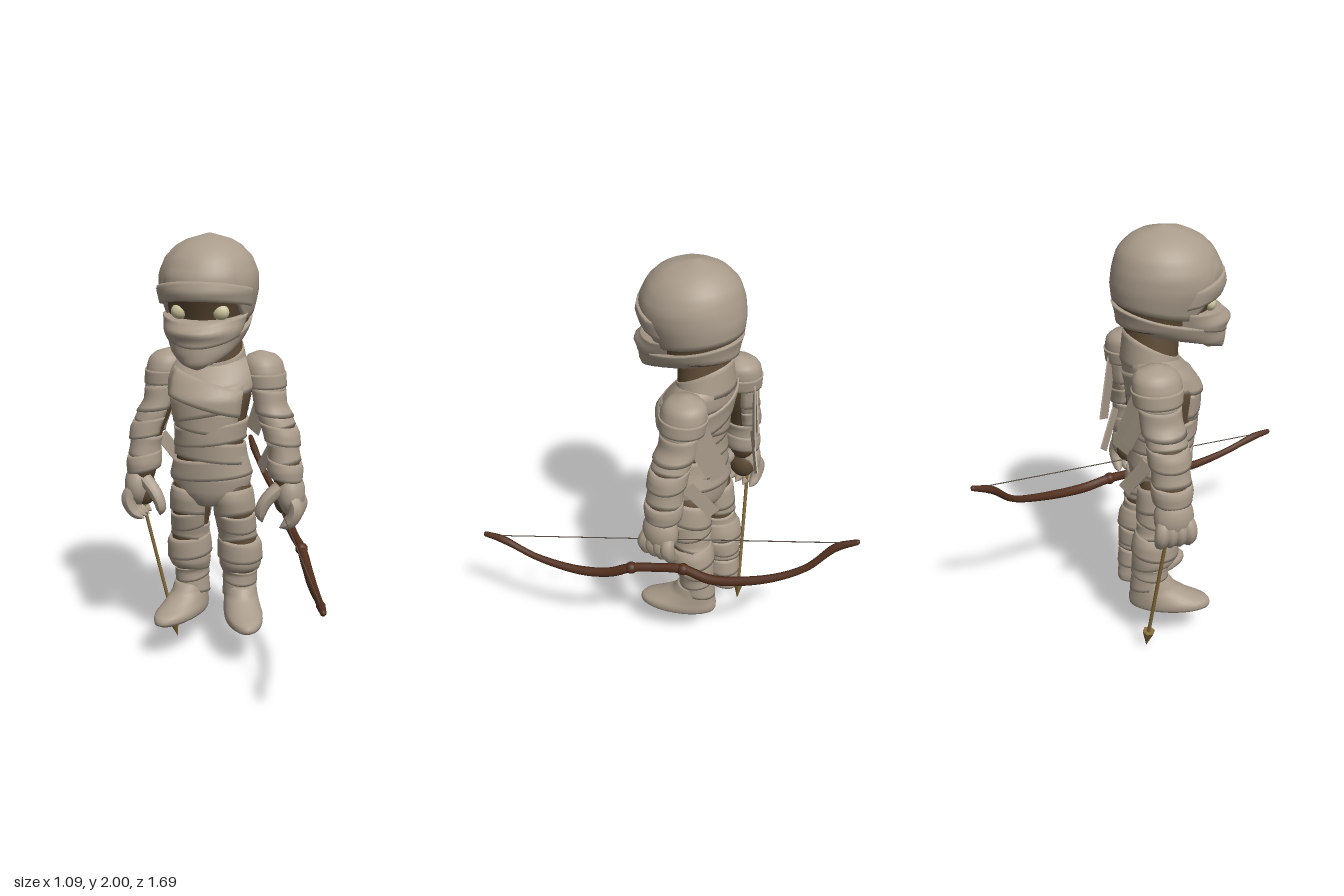
import * as THREE from 'three';

const mat = (name, color) => {
  const m = new THREE.MeshStandardMaterial({ color });
  m.name = name;
  return m;
};
const bandage = mat('bandage', 0xaa9c8b);
const under = mat('dark underlayer', 0x5e4b35);
const eyeMat = mat('pale eye', 0xcbc49c);
const bowWood = mat('bow wood', 0x522f1d);
const arrowWood = mat('arrow wood', 0x836a3c);
const stringMat = mat('bow string', 0x5a5047);
const smooth = THREE.MathUtils.smoothstep;

// A profile is a list of ellipses [y, xCentre, zCentre, xRadius, zRadius], rising in y.
function ellipseAt(profile, y) {
  let i = 0;
  while (i < profile.length - 2 && y > profile[i + 1][0]) i++;
  const a = profile[i], b = profile[i + 1];
  const t = THREE.MathUtils.clamp((y - a[0]) / (b[0] - a[0]), 0, 1);
  return a.map((v, k) => v + (b[k] - v) * t);
}

// Closed surface following a profile between two heights; heights may depend on the angle (0 = front).
// Where gap(angle) is 1 the wrap sinks below the underlayer, baring it.
function wrapGeometry(profile, lo, hi, grow = 0, rows = 6, gap = () => 0) {
  const seg = 32;
  const at = (f, a) => (typeof f === 'function' ? f(a) : f);
  const pos = [], idx = [];
  const steps = [];
  if (grow) steps.push([0, -0.03]);
  for (let i = 0; i <= rows; i++) steps.push([i / rows, grow * (1.15 - 0.5 * (i / rows))]);
  if (grow) steps.push([1, -0.03]);
  steps.forEach(([t, g]) => {
    for (let j = 0; j < seg; j++) {
      const a = (j / seg) * Math.PI * 2;
      const y = THREE.MathUtils.lerp(at(lo, a), at(hi, a), t);
      const [, xc, zc, rx, rz] = ellipseAt(profile, y);
      const off = g - 0.028 * gap(a);
      pos.push(xc + (rx + off) * Math.sin(a), y, zc + (rz + off) * Math.cos(a));
    }
  });
  const n = steps.length;
  for (let i = 0; i < n - 1; i++) for (let j = 0; j < seg; j++) {
    const k = (j + 1) % seg, p = i * seg, q = p + seg;
    idx.push(p + j, p + k, q + k, p + j, q + k, q + j);
  }
  // End caps
  for (const row of [0, n - 1]) {
    const c = [0, 0, 0], s = row * seg;
    for (let j = 0; j < seg; j++) for (let k = 0; k < 3; k++) c[k] += pos[(s + j) * 3 + k] / seg;
    const ci = pos.length / 3;
    pos.push(...c);
    for (let j = 0; j < seg; j++) {
      const k = (j + 1) % seg;
      row ? idx.push(ci, s + j, s + k) : idx.push(ci, s + k, s + j);
    }
  }
  const g = new THREE.BufferGeometry();
  g.setAttribute('position', new THREE.Float32BufferAttribute(pos, 3));
  g.setIndex(idx);
  g.computeVertexNormals();
  return g;
}

// Tube through points whose radius follows a list of values
function taperTube(points, radii, n = 24, sides = 10) {
  const curve = new THREE.CatmullRomCurve3(points.map((p) => new THREE.Vector3(...p)));
  const g = new THREE.TubeGeometry(curve, n, 1, sides);
  const p = g.attributes.position, v = new THREE.Vector3();
  for (let i = 0; i < p.count; i++) {
    const t = Math.floor(i / (sides + 1)) / n, f = t * (radii.length - 1);
    const k = Math.min(Math.floor(f), radii.length - 2);
    const r = THREE.MathUtils.lerp(radii[k], radii[k + 1], f - k);
    const c = curve.getPointAt(t);
    v.fromBufferAttribute(p, i).sub(c).multiplyScalar(r).add(c);
    p.setXYZ(i, v.x, v.y, v.z);
  }
  g.computeVertexNormals();
  return g;
}

function add(parent, name, geometry, material, x = 0, y = 0, z = 0) {
  const m = new THREE.Mesh(geometry, material);
  m.name = name;
  m.position.set(x, y, z);
  parent.add(m);
  return m;
}

// Places a part built along y so that it runs between two points, its flat side upright
function between(mesh, from, to) {
  const a = new THREE.Vector3(...from), b = new THREE.Vector3(...to);
  mesh.position.copy(a).add(b).multiplyScalar(0.5);
  const dir = b.sub(a).normalize();
  const flat = new THREE.Vector3(0, 1, 0).cross(dir).normalize();
  mesh.quaternion.setFromRotationMatrix(new THREE.Matrix4().makeBasis(dir.clone().cross(flat), dir, flat));
}

function buildHead(body) {
  const head = new THREE.Group();
  head.name = 'head';
  body.add(head);
  const skull = [[1.6, 0, 0.03, 0.18, 0.2], [1.7, 0, 0.04, 0.208, 0.228], [1.76, 0, 0.052, 0.222, 0.245],
    [1.83, 0, 0.052, 0.222, 0.235], [1.9, 0, 0.045, 0.193, 0.207], [1.95, 0, 0.042, 0.145, 0.158],
    [1.985, 0, 0.035, 0.08, 0.09], [2, 0, 0.03, 0.01, 0.01]];
  const jaw = [[1.43, 0, 0.245, 0.03, 0.03], [1.45, 0, 0.235, 0.07, 0.07], [1.5, 0, 0.185, 0.125, 0.125],
    [1.55, 0, 0.11, 0.16, 0.2], [1.59, 0, 0.085, 0.178, 0.248], [1.63, 0, 0.06, 0.19, 0.228],
    [1.68, 0, 0.045, 0.205, 0.23], [1.74, 0, 0.045, 0.215, 0.235]];
  const opening = (a) => smooth(Math.cos(a), 0.42, 0.72);
  const back = (a) => smooth(-Math.cos(a), -0.4, 0);
  add(head, 'faceUnderlayer', wrapGeometry(skull, 1.58, 1.8, -0.012), under);
  add(head, 'skullWrap', wrapGeometry(skull, (a) => 1.648 - 0.045 * Math.cos(a) + 0.13 * opening(a), 2, 0, 14), bandage);
  add(head, 'browWrap', wrapGeometry(skull, (a) => 1.68 + 0.045 * Math.cos(a), (a) => 1.755 + 0.055 * Math.cos(a), 0.014, 6, back), bandage);
  add(head, 'lipWrap', wrapGeometry(jaw, (a) => 1.595 - 0.07 * Math.cos(a), (a) => 1.67 - 0.035 * Math.cos(a), 0.01, 8, back), bandage);
  add(head, 'chinWrap', wrapGeometry(jaw, (a) => 1.505 - 0.075 * Math.cos(a), (a) => 1.608 - 0.07 * Math.cos(a), 0.008, 8), bandage);
  for (const s of [-1, 1]) {
    add(head, 'eye', new THREE.SphereGeometry(0.038, 16, 12), eyeMat, s * 0.092, 1.674, 0.214).scale.set(1, 0.9, 0.75);
  }
  const neck = [[1.4, 0, -0.025, 0.15, 0.12], [1.62, 0, -0.01, 0.12, 0.12]];
  add(head, 'neck', wrapGeometry(neck, 1.4, 1.62), under);
  add(head, 'neckWrap', wrapGeometry(neck, 1.41, (a) => 1.49 - 0.06 * Math.cos(a), 0.008), bandage);
}

function buildTorso(body) {
  const torso = new THREE.Group();
  torso.name = 'torso';
  body.add(torso);
  const shape = [[0.76, 0, 0.02, 0.07, 0.09], [0.82, 0, 0.02, 0.165, 0.122], [0.9, 0, 0.022, 0.185, 0.135],
    [1, 0, 0.032, 0.163, 0.138], [1.1, 0, 0.042, 0.155, 0.145], [1.2, 0, 0.042, 0.177, 0.152],
    [1.28, 0, 0.04, 0.194, 0.158], [1.36, 0, 0.005, 0.2, 0.145], [1.42, 0, -0.022, 0.185, 0.12], [1.47, 0, -0.03, 0.12, 0.095]];
  // Bare flanks below the armpits
  const flank = (a) => smooth(Math.abs(Math.sin(a)), 0.82, 0.92);
  add(torso, 'torsoUnderlayer', wrapGeometry(shape, 0.77, 1.4, -0.006, 16), under);
  add(torso, 'collarWrap', wrapGeometry(shape, (a) => 1.31 - 0.03 * Math.cos(a), 1.475, 0.003, 8), bandage);
  // [centre height, height, side slope, front slope]
  [[0.85, 0.15, 0, -0.01], [0.945, 0.095, 0.015, 0], [1.03, 0.095, -0.02, 0.01], [1.11, 0.09, 0.02, 0],
    [1.185, 0.1, -0.02, -0.01], [1.25, 0.12, 0.04, 0.01], [1.3, 0.12, -0.055, 0]].forEach(([y, h, sx, sz], i) => {
    const mid = (a) => y + sx * Math.sin(a) + sz * Math.cos(a);
    add(torso, 'torsoWrap', wrapGeometry(shape, (a) => mid(a) - h / 2, (a) => mid(a) + h / 2,
      i === 6 ? 0.014 : 0.008 + 0.003 * (i % 2), 6, i > 3 ? flank : undefined), bandage);
  });
}

function buildLeg(body, s) {
  const leg = new THREE.Group();
  leg.name = s > 0 ? 'leftLeg' : 'rightLeg';
  body.add(leg);
  const shape = [[0.28, 0.115, -0.06, 0.074, 0.083], [0.4, 0.12, -0.055, 0.076, 0.08], [0.45, 0.124, -0.037, 0.094, 0.098],
    [0.55, 0.124, -0.027, 0.096, 0.1], [0.6, 0.115, -0.018, 0.083, 0.092], [0.7, 0.106, 0, 0.092, 0.108],
    [0.8, 0.1, 0.015, 0.094, 0.118], [0.88, 0.1, 0.02, 0.08, 0.1]].map(([y, x, ...r]) => [y, s * x, ...r]);
  const inner = (a) => smooth(-s * Math.sin(a), 0.85, 0.95);
  add(leg, 'legUnderlayer', wrapGeometry(shape, 0.28, 0.88, -0.004, 12), under);
  [[0.335, 0.09, 0.01], [0.395, 0.07, -0.012], [0.455, 0.085, 0.01], [0.535, 0.1, -0.01],
    [0.615, 0.075, 0.012], [0.685, 0.085, -0.015], [0.77, 0.12, 0.012]].forEach(([y, h, slope], i) => {
    const mid = (a) => y + slope * (s * Math.sin(a) + Math.cos(a));
    add(leg, 'legWrap', wrapGeometry(shape, (a) => mid(a) - h / 2, (a) => mid(a) + h / 2,
      i === 3 ? 0.012 : 0.007, 6, i > 4 ? inner : undefined), bandage);
  });
  // Foot, turned slightly outward about the ankle
  const foot = [[0.176, 0, 0.09, 0.07, 0.172], [0.19, 0.002, 0.093, 0.089, 0.194], [0.22, 0.002, 0.088, 0.092, 0.192],
    [0.25, 0, 0.05, 0.086, 0.148], [0.29, 0, 0.015, 0.08, 0.108], [0.34, 0, 0, 0.076, 0.088]];
  add(leg, 'foot', wrapGeometry(foot, 0.176, 0.34, 0, 14), bandage, s * 0.122, 0, -0.054).rotation.y = s * 0.34;
}

function buildArm(body, s) {
  const arm = new THREE.Group();
  arm.name = s > 0 ? 'leftArm' : 'rightArm';
  body.add(arm);
  const flip = (list) => list.map(([y, x, ...r]) => [y, s * x, ...r]);
  const shape = flip([[0.84, 0.35, -0.02, 0.055, 0.065], [0.93, 0.342, -0.02, 0.075, 0.085], [1.02, 0.332, -0.025, 0.068, 0.08],
    [1.1, 0.318, -0.03, 0.078, 0.084], [1.17, 0.288, -0.037, 0.078, 0.086], [1.23, 0.262, -0.048, 0.068, 0.083], [1.36, 0.245, -0.055, 0.08, 0.09]]);
  const cap = flip([[1.29, 0.245, -0.055, 0.08, 0.095], [1.32, 0.24, -0.055, 0.088, 0.1], [1.38, 0.232, -0.057, 0.095, 0.11],
    [1.43, 0.225, -0.06, 0.088, 0.1], [1.457, 0.22, -0.06, 0.06, 0.07], [1.47, 0.215, -0.06, 0.02, 0.02]]);
  // Bare strip down the inside of the arm
  const inner = (a) => smooth(-s * Math.sin(a), 0.86, 0.95);
  add(arm, 'armUnderlayer', wrapGeometry(shape, 0.84, 1.36, -0.004, 12), under);
  [[0.93, 0.085, -0.015], [1.015, 0.11, 0.012], [1.1, 0.085, -0.015], [1.165, 0.075, 0.012], [1.245, 0.12, -0.01], [1.32, 0.06, 0]]
    .forEach(([y, h, slope], i) => {
      const mid = (a) => y + slope * s * Math.sin(a);
      add(arm, 'armWrap', wrapGeometry(shape, (a) => mid(a) - h / 2, (a) => mid(a) + h / 2,
        i % 2 ? 0.005 : 0.011, 6, i > 1 ? inner : undefined), bandage);
    });
  add(arm, 'shoulder', wrapGeometry(cap, 1.31, 1.47, 0, 10), bandage);
  add(arm, 'shoulderWrap', wrapGeometry(cap, 1.31, 1.375, 0.008), bandage);
  // Hand with curled fingers and a bare palm
  add(arm, 'handBack', new THREE.SphereGeometry(1, 20, 14), bandage, s * 0.368, 0.815, -0.02).scale.set(0.068, 0.105, 0.09);
  add(arm, 'palm', new THREE.SphereGeometry(1, 18, 12), under, s * 0.34, 0.79, -0.025).scale.set(0.052, 0.08, 0.07);
  for (let i = 0; i < 4; i++) {
    const z = -0.082 + i * 0.042;
    add(arm, 'finger', taperTube([[s * 0.38, 0.81, z * 0.8 - 0.005], [s * 0.405, 0.755, z], [s * 0.38, 0.692, z], [s * 0.325, 0.66, z]],
      [0.03, 0.034, 0.034, 0.032, 0.028, 0.022, 0], 14, 8), bandage);
  }
  add(arm, 'thumb', taperTube([[s * 0.325, 0.85, 0.02], [s * 0.265, 0.79, 0.05], [s * 0.24, 0.73, 0.055], [s * 0.248, 0.68, 0.045]],
    [0.035, 0.035, 0.032, 0.03, 0.026, 0], 14, 8), bandage);
  // Loose cloth strips behind the arm
  [[[0.25, 1.37, -0.125], [0.15, 1.06, -0.2], 0.09], [[0.28, 1.3, -0.12], [0.2, 1.1, -0.185], 0.06],
    [[0.28, 1.04, -0.11], [0.19, 0.875, -0.195], 0.06]].forEach(([a, b, w]) => {
    const len = new THREE.Vector3(...a).distanceTo(new THREE.Vector3(...b));
    between(add(arm, 'looseStrip', new THREE.BoxGeometry(w, len, 0.007), bandage), [s * a[0], a[1], a[2]], [s * b[0], b[1], b[2]]);
  });
}

function buildBow(root) {
  const bow = new THREE.Group();
  bow.name = 'bow';
  root.add(bow);
  const path = [[0.535, 0.595, 0.832], [0.515, 0.588, 0.75], [0.478, 0.535, 0.56], [0.422, 0.515, 0.35], [0.375, 0.54, 0.2],
    [0.335, 0.587, 0.1], [0.285, 0.605, -0.01], [0.24, 0.62, -0.13], [0.213, 0.603, -0.27], [0.115, 0.648, -0.5],
    [0.02, 0.72, -0.65], [-0.06, 0.83, -0.75], [-0.097, 0.872, -0.832]];
  add(bow, 'bowStave', taperTube(path, [0.013, 0.019, 0.016, 0.016, 0.018, 0.02, 0.022, 0.022, 0.023, 0.021, 0.021, 0.022, 0.022,
    0.023, 0.022, 0.021, 0.019, 0.017, 0.016, 0.016, 0.019, 0.013], 84, 10), bowWood);
  for (const p of [path[0], path[path.length - 1]]) add(bow, 'bowTip', new THREE.SphereGeometry(0.013, 10, 8), bowWood, ...p);
  for (const p of [path[5], path[7]]) add(bow, 'gripKnob', new THREE.SphereGeometry(0.029, 14, 10), bowWood, ...p);
  const a = [0.518, 0.6, 0.775], b = [-0.078, 0.862, -0.79];
  const len = new THREE.Vector3(...a).distanceTo(new THREE.Vector3(...b));
  between(add(bow, 'bowString', new THREE.CylinderGeometry(0.0025, 0.0025, len, 6), stringMat), a, b);
}

function buildArrow(root) {
  const arrow = new THREE.Group();
  arrow.name = 'arrow';
  root.add(arrow);
  // Built upright with its point at the bottom, then leaned
  add(arrow, 'arrowShaft', new THREE.CylinderGeometry(0.009, 0.009, 0.66, 8), arrowWood, 0, 0.42, 0);
  add(arrow, 'arrowHead', new THREE.ConeGeometry(0.03, 0.1, 6), arrowWood, 0, 0.05, 0).rotation.x = Math.PI;
  arrow.position.set(-0.318, 0.003, -0.1);
  arrow.quaternion.setFromUnitVectors(new THREE.Vector3(0, 1, 0), new THREE.Vector3(-0.21, 1, 0.075).normalize());
}

export function createModel() {
  const root = new THREE.Group();
  root.name = 'wrappedArcher';
  const body = new THREE.Group();
  body.name = 'body';
  body.position.x = -0.107;
  root.add(body);
  buildHead(body);
  buildTorso(body);
  for (const s of [-1, 1]) {
    buildLeg(body, s);
    buildArm(body, s);
  }
  buildBow(root);
  buildArrow(root);
  return root;
}
